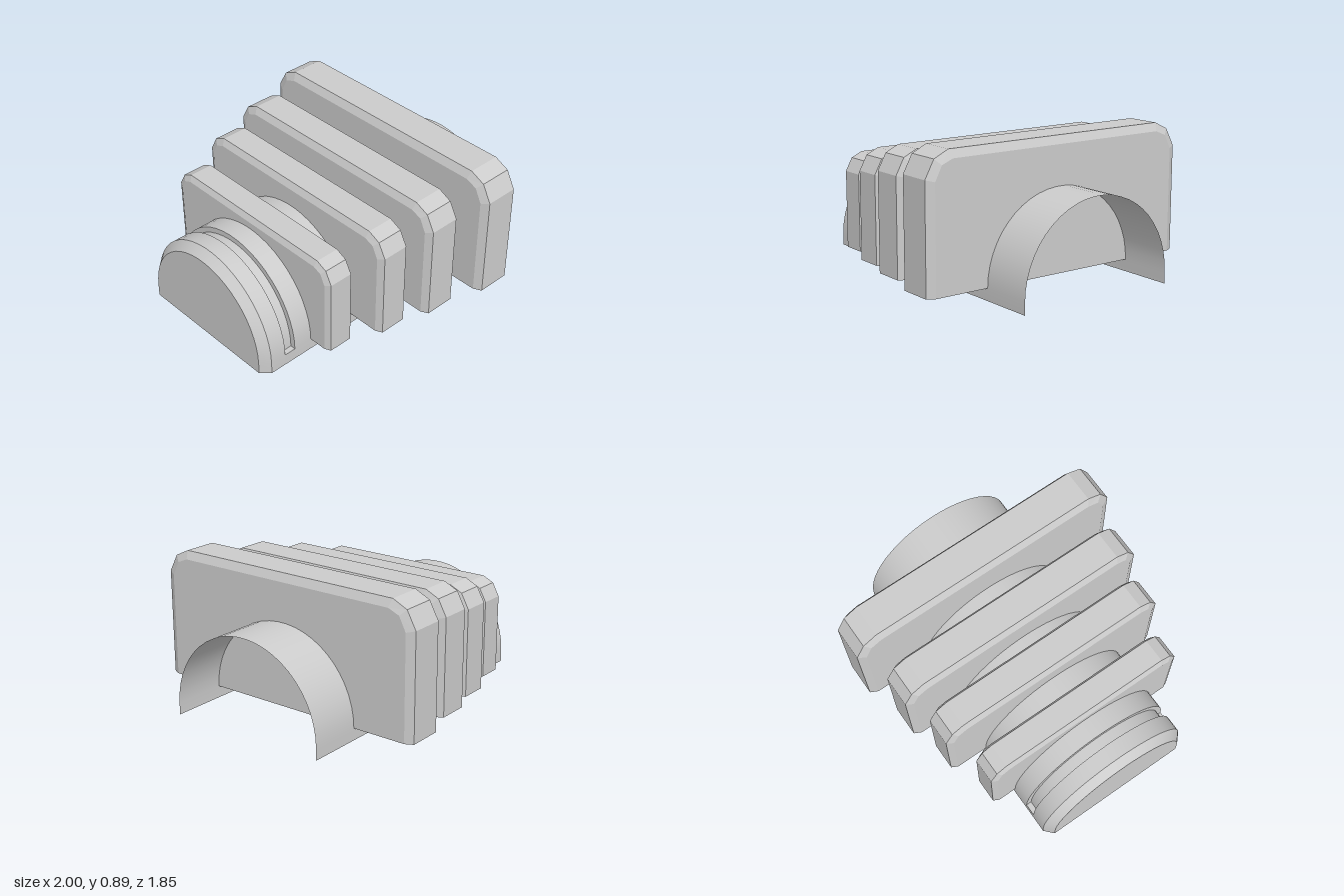
import * as THREE from 'three';
import { mergeGeometries, toCreasedNormals } from 'three/addons/utils/BufferGeometryUtils.js';

const SILL = 0.075; // height of the straight skirt under the arch
const RADIUS = 0.525;
const GROOVE = 0.49;
const ARC_STEPS = 25;

const smoothMaterial = new THREE.MeshStandardMaterial({ color: 0xcccccc, side: THREE.DoubleSide });
const flatMaterial = new THREE.MeshStandardMaterial({ color: 0xcccccc, side: THREE.DoubleSide, flatShading: true });

// Skins a run of equally long cross-sections, each a list of [x, y, z]
function loft(sections) {
  const n = sections[0].length;
  const index = [];
  for (let s = 0; s < sections.length - 1; s++) {
    for (let j = 0; j < n - 1; j++) {
      const a = s * n + j, b = a + 1, d = a + n, c = d + 1;
      index.push(a, d, b, b, d, c);
    }
  }
  const geometry = new THREE.BufferGeometry();
  geometry.setAttribute('position', new THREE.Float32BufferAttribute(sections.flat(2), 3));
  geometry.setIndex(index);
  geometry.computeVertexNormals();
  return geometry;
}

// Closes a symmetric profile by bridging its two halves; dir is the facing along x
function endCap(profile, dir) {
  const half = profile.slice(0, profile.length / 2);
  const mirrored = half.map(([x, y, z]) => [x, y, -z]);
  return loft(dir > 0 ? [half, mirrored] : [mirrored, half]);
}

function add(group, name, geometry, material) {
  const mesh = new THREE.Mesh(geometry, material);
  mesh.name = name;
  group.add(mesh);
}

// Half circle from the +z side over the top to the -z side
function arc(x, r) {
  return Array.from({ length: ARC_STEPS + 1 }, (_, i) => {
    const a = (i / ARC_STEPS) * Math.PI;
    return [x, SILL + r * Math.sin(a), r * Math.cos(a)];
  });
}

// Half circle standing on its straight skirt
function arch(x, r) {
  return [[x, 0, r], ...arc(x, r), [x, 0, -r]];
}

// Rounded-top rib outline, pulled in by the given inset
function ribProfile(x, half, top, inset) {
  const k = half / 0.925;
  const side = [
    [x, SILL, half - inset],
    [x, top - 0.155 * k - 0.25 * inset, half - inset],
    [x, top - 0.045 * k - 0.7 * inset, half - 0.06 * k - 0.7 * inset],
    [x, top - inset, half - 0.155 * k - 0.25 * inset],
  ];
  return [...side, ...side.map(([px, y, z]) => [px, y, -z]).reverse()];
}

export function createModel() {
  const group = new THREE.Group();
  group.name = 'ribbedHalfSleeve';

  // Hollow arched sleeve, open underneath and at the +x end
  const sleeve = new THREE.Group();
  sleeve.name = 'sleeve';
  group.add(sleeve);
  const x0 = -0.84, x1 = -0.765;
  add(sleeve, 'collar', toCreasedNormals(
    loft([arch(-1, RADIUS - 0.05), arch(-0.945, RADIUS), arch(x0, RADIUS)]), 0.5), smoothMaterial);
  add(sleeve, 'endWall', endCap(arch(-1, RADIUS - 0.05), -1), flatMaterial);
  add(sleeve, 'barrel', toCreasedNormals(loft([arch(x1, RADIUS), arch(1, RADIUS)]), 0.5), smoothMaterial);

  // Recessed groove between collar and barrel
  add(sleeve, 'groove', toCreasedNormals(
    loft([arc(x0, RADIUS), arc(x0, GROOVE), arc(x1, GROOVE), arc(x1, RADIUS)]), 0.5), smoothMaterial);

  // Skirt and ledge closing the groove at both sides
  const ledge = (x) => [[x, 0, RADIUS], [x, SILL, RADIUS], [x, SILL, GROOVE]];
  const mirrorLedge = (x) => ledge(x).map(([px, y, z]) => [px, y, -z]).reverse();
  add(sleeve, 'grooveLedges', mergeGeometries([
    loft([ledge(x0), ledge(x1)]),
    loft([mirrorLedge(x0), mirrorLedge(x1)]),
  ]), flatMaterial);

  // Four hollow grip ribs growing toward +x: [start, end, top, half width]
  const ribs = [
    [-0.64, -0.45, 0.68, 0.68],
    [-0.315, -0.1, 0.76, 0.775],
    [0.005, 0.245, 0.83, 0.845],
    [0.395, 0.66, 0.895, 0.925],
  ];
  ribs.forEach(([start, end, top, half], i) => {
    const inset = 0.05 * half / 0.925;
    const bevel = 0.025 * half / 0.925;
    const first = ribProfile(start, half, top, inset);
    const last = ribProfile(end, half, top, inset);
    const shell = loft([
      first,
      ribProfile(start + bevel, half, top, 0),
      ribProfile(end - bevel, half, top, 0),
      last,
    ]);
    add(group, `rib${i + 1}`, mergeGeometries([shell, endCap(first, -1), endCap(last, 1)]), flatMaterial);
  });

  return group;
}
